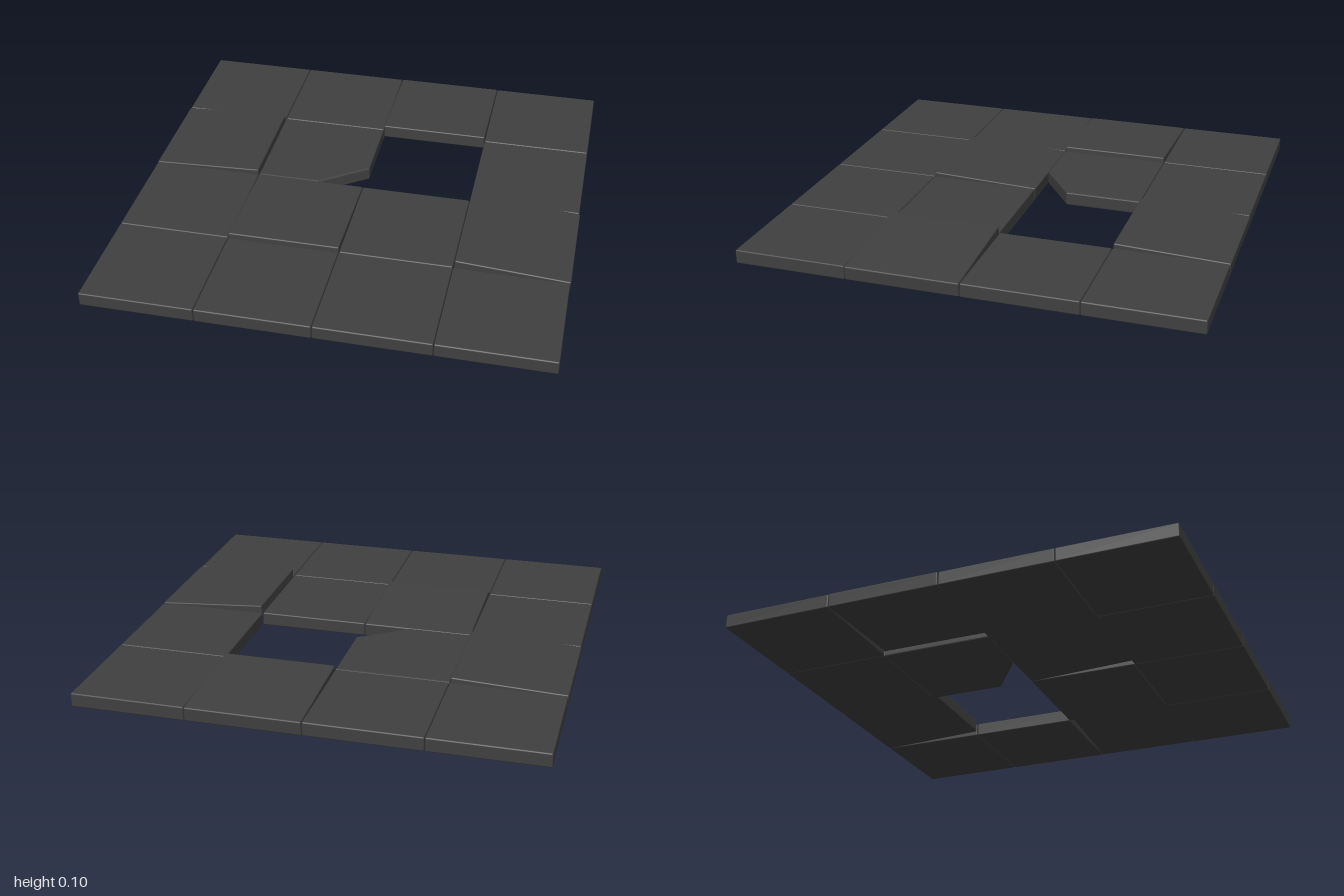
import * as THREE from 'three';
import { RoundedBoxGeometry } from 'three/addons/geometries/RoundedBoxGeometry.js';

const SIZE = 0.5, THICK = 0.062, GAP = 0.002, BEVEL = 0.006;

// Tile with one corner snapped off, outlined in x / -z around its own centre
function brokenTileGeometry() {
  const h = (SIZE - GAP) / 2 - BEVEL;
  const shape = new THREE.Shape([
    [-h, -h], [0.04 - BEVEL, -h], [h, -0.1 + BEVEL], [h, h], [-h, h],
  ].map(([x, y]) => new THREE.Vector2(x, y)));
  const geo = new THREE.ExtrudeGeometry(shape, {
    depth: THICK - 2 * BEVEL, bevelEnabled: true,
    bevelSize: BEVEL, bevelThickness: BEVEL, bevelSegments: 2,
  });
  geo.translate(0, 0, BEVEL - THICK / 2);
  geo.rotateX(-Math.PI / 2);
  return geo;
}

export function createModel() {
  const model = new THREE.Group();
  model.name = 'tileFloor';
  const material = new THREE.MeshStandardMaterial({ color: 0x404040 });
  const whole = new RoundedBoxGeometry(SIZE - GAP, THICK, SIZE - GAP, 2, BEVEL);
  const broken = brokenTileGeometry();

  // Loose tiles, keyed "column,row": the edge that lifts (x, z) and how far
  const lifted = {
    '0,1': { x: 1, z: 0, rise: 0.021 },
    '1,2': { x: 0, z: 1, rise: 0.02 },
    '2,0': { x: 0, z: 1, rise: 0.02 },
    '3,2': { x: -1, z: 0, rise: 0.034 },
  };

  for (let row = 0; row < 4; row++) {
    for (let col = 0; col < 4; col++) {
      if (col === 2 && row === 1) continue; // missing tile
      const isBroken = col === 1 && row === 1;
      const lift = lifted[`${col},${row}`] ?? { x: 0, z: 0, rise: 0 };

      // Hinge sits on the bottom edge opposite the lifted one
      const hx = -lift.x * SIZE / 2, hz = -lift.z * SIZE / 2;
      const hinge = new THREE.Group();
      hinge.name = isBroken ? 'brokenTile' : lift.rise ? 'loosenedTile' : 'floorTile';
      hinge.position.set((col - 1.5) * SIZE + hx, 0, (row - 1.5) * SIZE + hz);
      const angle = Math.asin(lift.rise / SIZE);
      hinge.rotation.set(-lift.z * angle, 0, lift.x * angle);

      const tile = new THREE.Mesh(isBroken ? broken : whole, material);
      tile.name = 'slab';
      tile.position.set(-hx, THICK / 2, -hz);
      hinge.add(tile);
      model.add(hinge);
    }
  }
  return model;
}
